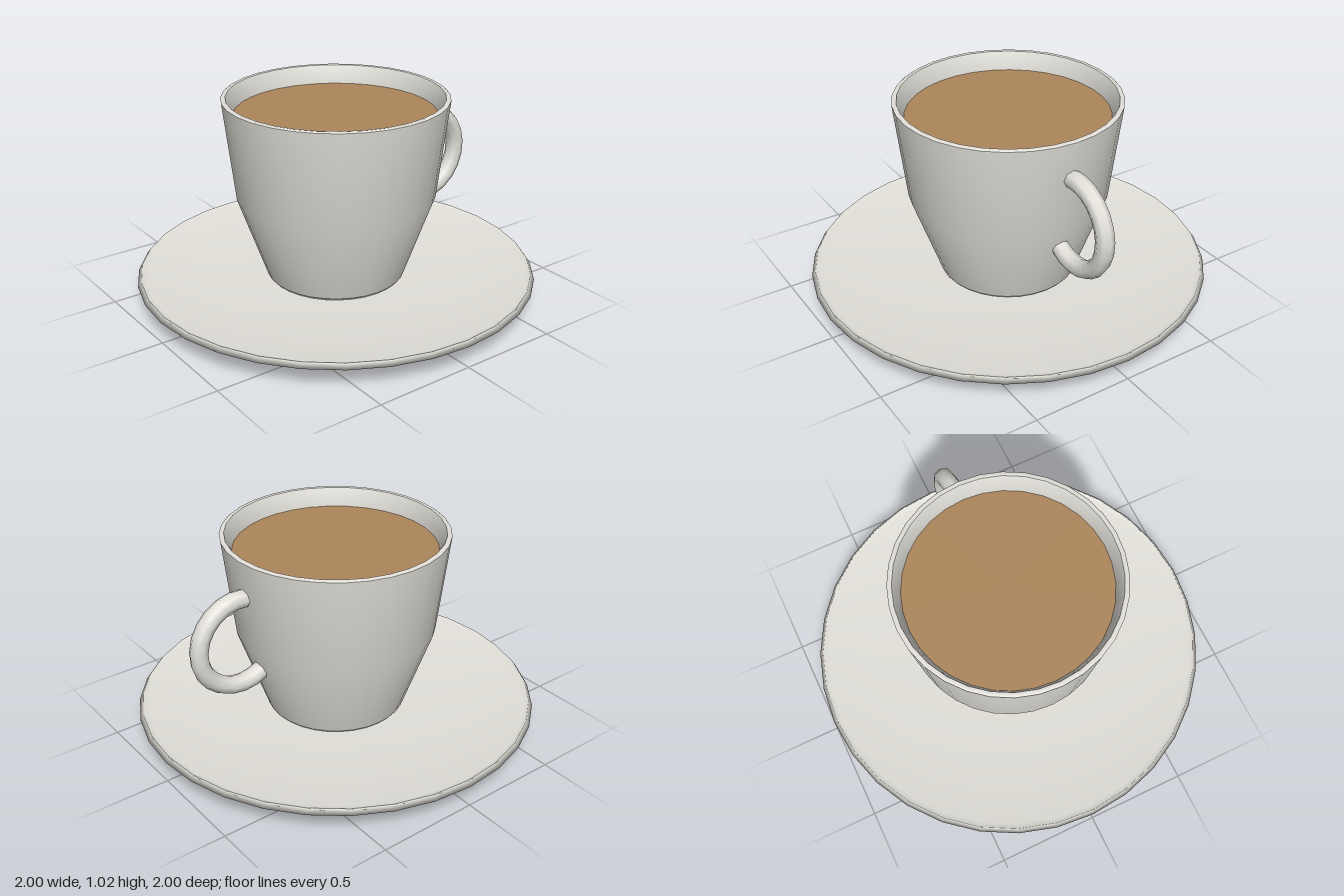
import * as THREE from 'three';

const SEGMENTS = 32;

export function createModel() {
  const ceramic = new THREE.MeshStandardMaterial({ color: 0xe2e0d9 });
  ceramic.name = 'ceramic';
  const coffee = new THREE.MeshStandardMaterial({ color: 0xac865b });
  coffee.name = 'coffee';

  // Turned part: each profile is smooth within itself, with a sharp edge where the next begins
  function turned(name, profiles) {
    const group = new THREE.Group();
    group.name = name;
    for (const [part, points] of Object.entries(profiles)) {
      const profile = points.map(([r, y]) => new THREE.Vector2(r, y));
      const mesh = new THREE.Mesh(new THREE.LatheGeometry(profile, SEGMENTS), ceramic);
      mesh.name = part;
      group.add(mesh);
    }
    return group;
  }

  const model = new THREE.Group();
  model.name = 'cupAndSaucer';

  // Saucer: flat base, flared underside with a bevelled rim, and a shallow curved dish
  model.add(turned('saucer', {
    saucerBase: [[0, 0], [0.722, 0], [0.75, 0.018]],
    saucerUnderside: [[0.75, 0.018], [1, 0.105], [0.982, 0.13]],
    saucerDish: [[0.982, 0.13], [0.955, 0.119], [0.7, 0.094], [0.335, 0.083], [0, 0.083]],
  }));

  // Cup: small foot, tapered wall, rounded lip and inner wall
  model.add(turned('cup', {
    cupFoot: [[0, 0.079], [0.33, 0.079], [0.348, 0.1]],
    cupWall: [[0.348, 0.1], [0.495, 0.52], [0.553, 1.014]],
    cupLip: [[0.553, 1.014], [0.545, 1.02], [0.53, 1.018]],
    cupInside: [[0.53, 1.018], [0.497, 0.928], [0.46, 0.52], [0.325, 0.14], [0, 0.13]],
  }));

  // Drink surface
  const drink = new THREE.Mesh(new THREE.CircleGeometry(0.497, SEGMENTS), coffee);
  drink.name = 'drink';
  drink.rotation.x = -Math.PI / 2;
  drink.position.y = 0.928;
  model.add(drink);

  // Handle: open ring whose ends sink into the wall
  const start = THREE.MathUtils.degToRad(-122);
  const arc = THREE.MathUtils.degToRad(222);
  const handle = new THREE.Mesh(new THREE.TorusGeometry(0.222, 0.045, 8, 14, arc), ceramic);
  handle.name = 'handle';
  handle.rotation.z = start;
  handle.position.set(0.563, 0.602, 0);
  model.add(handle);

  return model;
}
